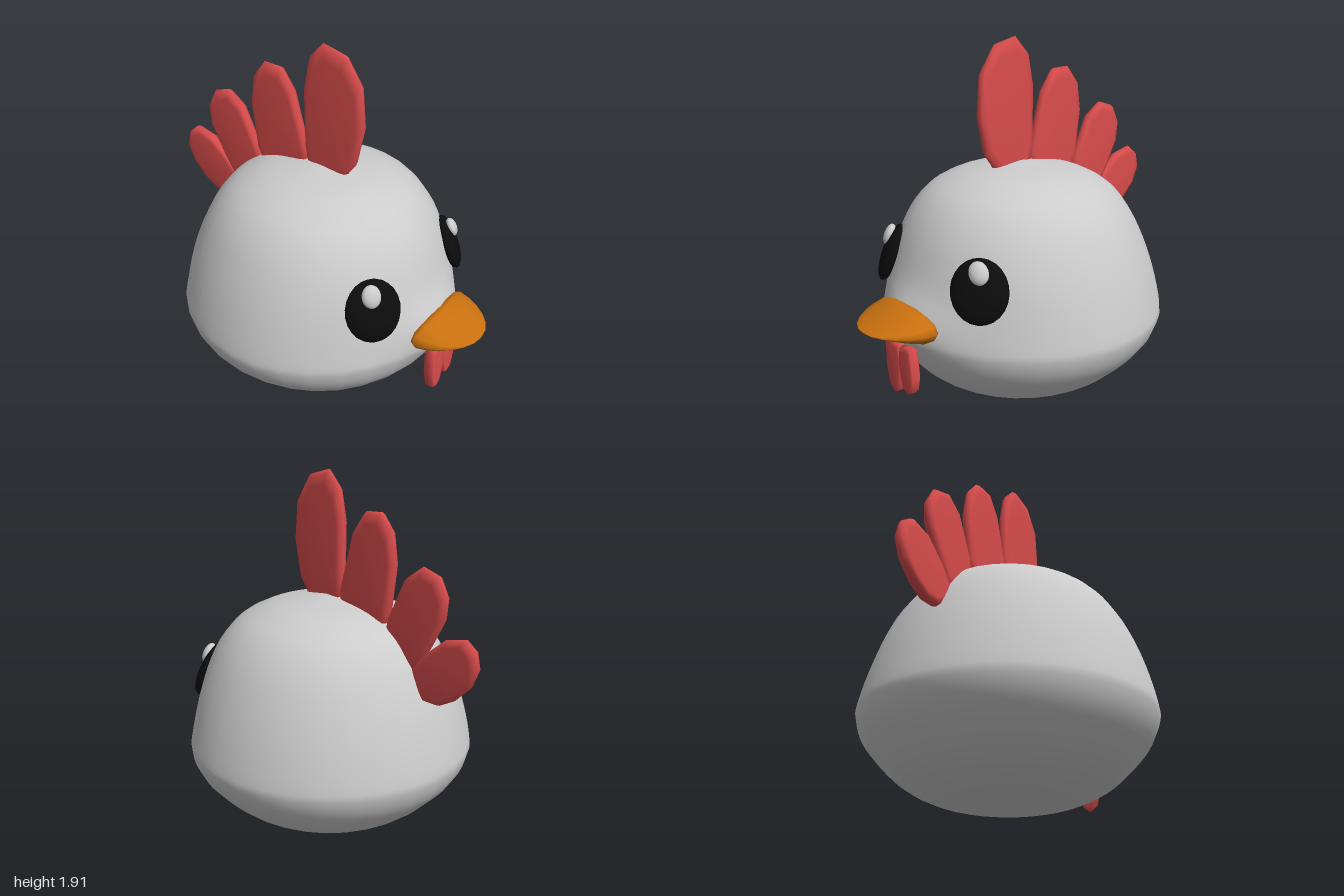
import * as THREE from 'three';
import { mergeVertices } from 'three/addons/utils/BufferGeometryUtils.js';

const paint = (color) => new THREE.MeshStandardMaterial({ color });
const grey = paint(0xcccccc), red = paint(0xd94c4c), orange = paint(0xc87010), black = paint(0x0c0c0c);

function add(parent, name, geometry, material) {
  const mesh = new THREE.Mesh(geometry, material);
  mesh.name = name;
  parent.add(mesh);
  return mesh;
}

// Move every vertex by a rule, then weld and smooth
function reshape(geometry, rule) {
  const p = geometry.attributes.position, v = new THREE.Vector3();
  for (let i = 0; i < p.count; i++) {
    rule(v.fromBufferAttribute(p, i));
    p.setXYZ(i, v.x, v.y, v.z);
  }
  geometry.deleteAttribute('uv');
  geometry.deleteAttribute('normal');
  const welded = mergeVertices(geometry, 1e-4);
  welded.computeVertexNormals();
  return welded;
}

// Thin cushion with rounded rim from a flat outline, half thickness t
function cushion(outline, t) {
  const pts = outline.map(([x, y]) => new THREE.Vector2(x, y));
  if (THREE.ShapeUtils.isClockWise(pts)) pts.reverse();
  const n = pts.length;
  const c = pts.reduce((s, p) => s.add(p), new THREE.Vector2()).divideScalar(n);
  const rings = [[0.8, -1], [0.95, -0.75], [1, 0], [0.95, 0.75], [0.8, 1]];
  const pos = [], idx = [];
  for (const [k, w] of rings)
    for (const p of pts) pos.push(c.x + (p.x - c.x) * k, c.y + (p.y - c.y) * k, w * t);
  pos.push(c.x, c.y, -t, c.x, c.y, t);
  const back = rings.length * n, front = back + 1, last = back - n;
  for (let i = 0; i < n; i++) {
    const j = (i + 1) % n;
    for (let r = 0; r < rings.length - 1; r++) {
      const a = r * n + i, b = r * n + j;
      idx.push(a, b, b + n, a, b + n, a + n);
    }
    idx.push(back, j, i, front, last + i, last + j);
  }
  const g = new THREE.BufferGeometry();
  g.setAttribute('position', new THREE.Float32BufferAttribute(pos, 3));
  g.setIndex(idx);
  g.computeVertexNormals();
  return g;
}

function ellipsoid(a, b, c) {
  return new THREE.SphereGeometry(1, 16, 12).scale(a, b, c);
}

export function createModel() {
  const model = new THREE.Group();
  model.name = 'chickenHead';

  // Head: turned dome, front slightly flattened and pulled out behind the beak
  const profile = [[0, 0.005], [0.28, 0.03], [0.43, 0.07], [0.56, 0.14], [0.68, 0.25], [0.75, 0.34],
    [0.785, 0.43], [0.782, 0.5], [0.74, 0.67], [0.68, 0.84], [0.6, 1.0], [0.5, 1.12], [0.38, 1.19],
    [0.25, 1.23], [0, 1.265]].map(([r, y]) => new THREE.Vector2(r, y));
  const dome = new THREE.SplineCurve(profile).getPoints(42);
  dome.forEach((p) => { p.x = Math.max(p.x, 0); });
  add(model, 'head', reshape(new THREE.LatheGeometry(dome, 32), (v) => {
    if (v.z > 0) {
      const band = Math.exp(-(((v.y - 0.5) / 0.3) ** 2));
      const bump = Math.exp(-((v.x / 0.24) ** 2) - ((v.y - 0.55) / 0.13) ** 2);
      v.z += Math.min(1, v.z / 0.5) * (0.08 * bump - 0.035 * band);
    }
    v.z -= 0.015;
  }), grey);

  // Beak: wide, tapering to a thin front edge, wrapped round the face
  const beak = new THREE.SphereGeometry(1, 16, 12).rotateX(Math.PI / 2);
  add(model, 'beak', reshape(beak, (v) => {
    const taper = v.z > 0 ? Math.sqrt((1 - v.z) / (1 + v.z)) : 1;
    v.set(v.x * 0.25, 0.555 + v.y * 0.098 * taper,
      0.78 + v.z * (v.z > 0 ? 0.215 : 0.08) - 0.64 * (v.x * 0.25) ** 2);
  }), orange);

  // Eyes with highlights, lying on the curved face
  for (const [side, roll] of [[1, 0.3], [-1, 0.05]]) {
    const eye = new THREE.Group();
    eye.name = side > 0 ? 'leftEye' : 'rightEye';
    eye.position.set(side * 0.38, 0.775, 0.575);
    eye.lookAt(side * (0.38 + 0.51), 0.775 + 0.38, 0.575 + 0.78);
    add(eye, 'pupil', ellipsoid(0.148, 0.162, 0.05), black).rotation.z = roll;
    const shine = add(eye, 'highlight', ellipsoid(0.05, 0.06, 0.03), grey);
    shine.position.set(side > 0 ? 0.0 : -0.015, 0.085, 0.042);
    shine.rotation.z = roll * 1.5;
    model.add(eye);
  }

  // Comb: four lobes along the crown, outlines given as (z, y)
  const lobes = [
    [[0.255, 1.52], [0.235, 1.74], [0.14, 1.88], [0, 1.915], [-0.08, 1.83], [-0.115, 1.66],
      [-0.11, 1.33], [-0.08, 1.17], [0.12, 1.17], [0.165, 1.25], [0.21, 1.31]],
    [[-0.1, 1.3], [-0.19, 1.62], [-0.27, 1.73], [-0.38, 1.735], [-0.45, 1.65], [-0.475, 1.49],
      [-0.44, 1.22], [-0.38, 1.1], [-0.2, 1.12], [-0.1, 1.2]],
    [[-0.44, 1.21], [-0.55, 1.44], [-0.65, 1.51], [-0.75, 1.48], [-0.8, 1.385], [-0.79, 1.27],
      [-0.7, 1.1], [-0.62, 0.98], [-0.5, 1.0], [-0.42, 1.1]],
    [[-0.6, 0.98], [-0.68, 1.08], [-0.8, 1.18], [-0.92, 1.21], [-0.98, 1.165], [-1, 1.08],
      [-0.96, 0.98], [-0.87, 0.89], [-0.78, 0.84], [-0.69, 0.84], [-0.6, 0.88]],
  ];
  lobes.forEach((outline, i) => {
    const lobe = add(model, `combLobe${i + 1}`, cushion(outline, 0.031), red);
    lobe.rotation.y = -Math.PI / 2;
    lobe.position.x = -0.015;
  });

  // Wattle: two hanging lobes under the beak
  const wattles = {
    rightWattle: [[-0.13, 0.425], [-0.1, 0.445], [-0.01, 0.43], [0.005, 0.36], [0, 0.27], [-0.025, 0.16],
      [-0.06, 0.135], [-0.1, 0.165], [-0.125, 0.27]],
    leftWattle: [[0.095, 0.435], [0.06, 0.44], [0, 0.42], [-0.01, 0.34], [0, 0.26], [0.02, 0.185],
      [0.055, 0.165], [0.095, 0.19], [0.113, 0.27]],
  };
  for (const [name, outline] of Object.entries(wattles))
    add(model, name, cushion(outline, 0.03), red).position.z = 0.772;

  return model;
}
